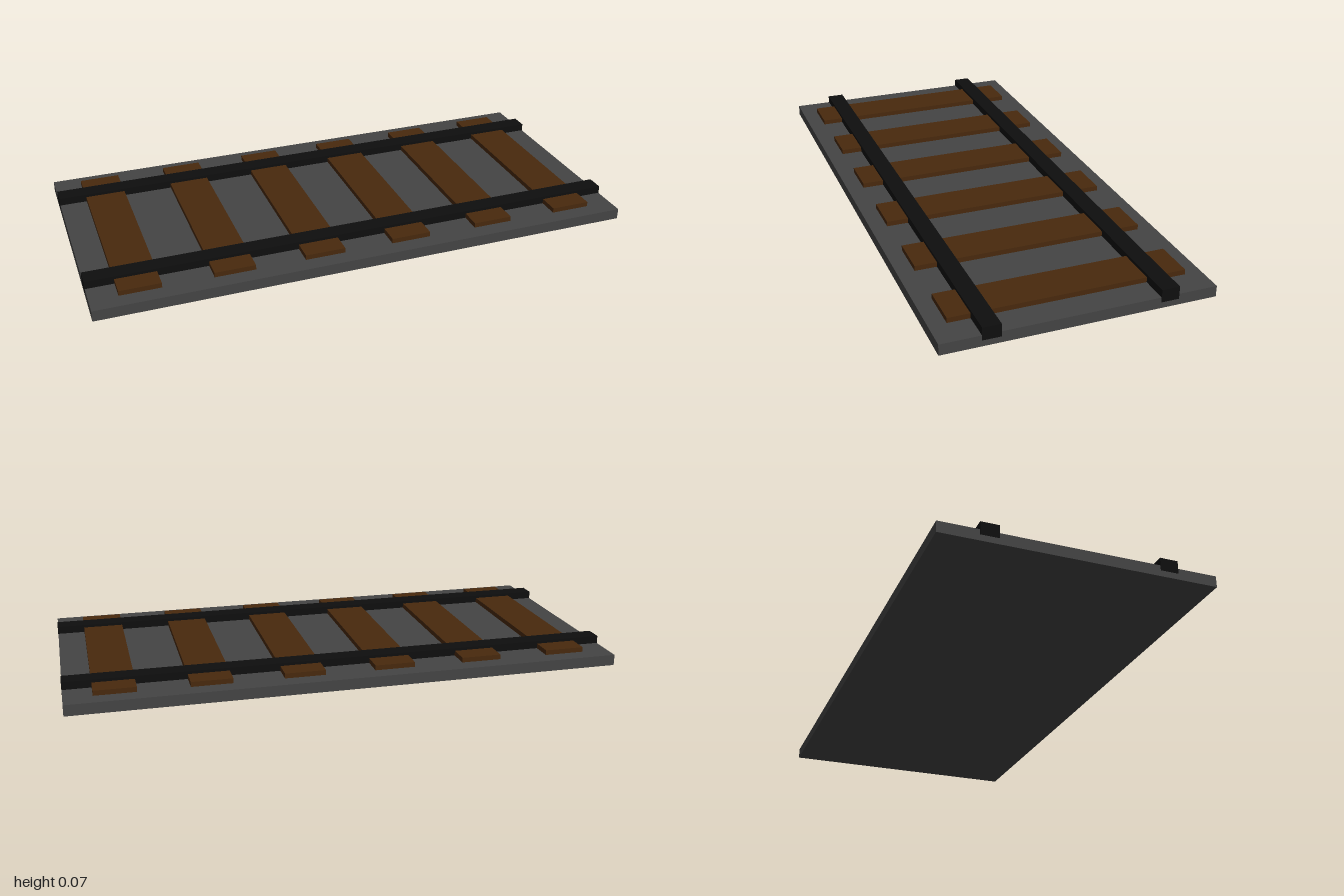
import * as THREE from 'three';

export function createModel() {
  const group = new THREE.Group();
  const material = (color) => new THREE.MeshStandardMaterial({ color, flatShading: true });
  const gravel = material(0x444444);
  const wood = material(0x48290d);
  const steel = material(0x0e0e0e);

  // Box given by its length, bottom and top heights, depth and centre
  const addBox = (name, mat, length, bottom, top, depth, x = 0, z = 0) => {
    const mesh = new THREE.Mesh(new THREE.BoxGeometry(length, top - bottom, depth), mat);
    mesh.position.set(x, (bottom + top) / 2, z);
    mesh.name = name;
    group.add(mesh);
  };

  // Flat track bed
  addBox('trackBed', gravel, 1.998, 0, 0.04, 0.957);

  // Six wooden sleepers laid across the bed
  for (let i = 0; i < 6; i++) {
    addBox('sleeper' + (i + 1), wood, 0.148, 0.02, 0.058, 0.835, -0.825 + i * 0.33);
  }

  // Two square rails, sunk into the bed and sleepers
  addBox('frontRail', steel, 2, 0.022, 0.068, 0.064, 0, 0.307);
  addBox('backRail', steel, 2, 0.022, 0.068, 0.064, 0, -0.307);

  return group;
}
